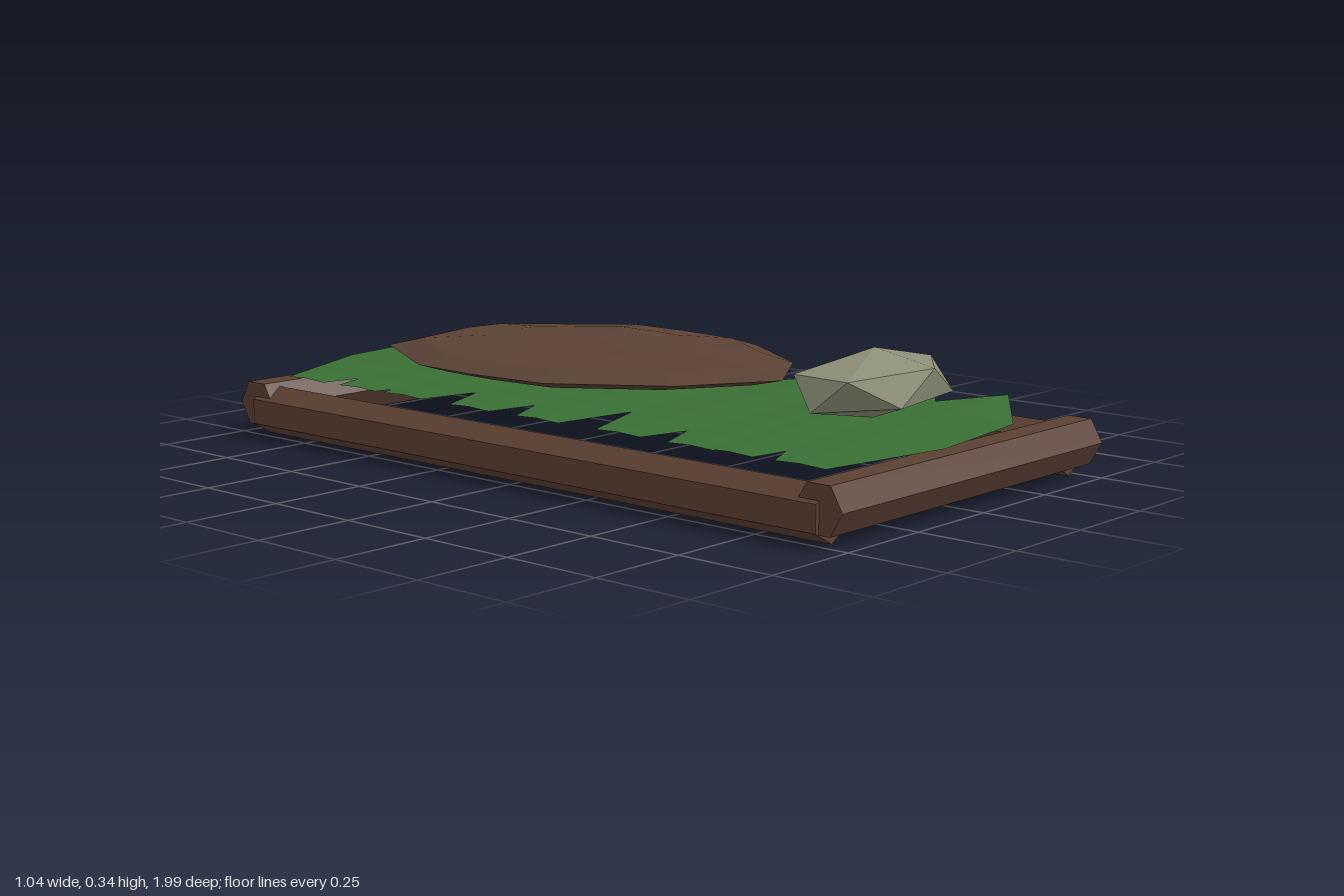
import * as THREE from 'three';
import { ConvexGeometry } from 'three/addons/geometries/ConvexGeometry.js';

const material = (name, color, extra = {}) => {
  const m = new THREE.MeshStandardMaterial({ color, flatShading: true, ...extra });
  m.name = name;
  return m;
};

// Flat-sided solid or sheet from a list of corner rows, each the same length
function loft(rows, closed) {
  const pos = [];
  const cols = rows[0].length;
  for (let i = 0; i < rows.length - 1; i++) {
    for (let j = 0; j < (closed ? cols : cols - 1); j++) {
      const k = (j + 1) % cols;
      const a = rows[i][j], b = rows[i][k], c = rows[i + 1][k], d = rows[i + 1][j];
      pos.push(...a, ...b, ...c, ...a, ...c, ...d);
    }
  }
  const g = new THREE.BufferGeometry();
  g.setAttribute('position', new THREE.Float32BufferAttribute(pos, 3));
  g.computeVertexNormals();
  return g;
}

export function createModel() {
  const model = new THREE.Group();
  const wood = material('dark wood', 0x5c4033);
  const green = material('leaf green', 0x3a6f35, { side: THREE.DoubleSide });
  const hide = material('brown hide', 0x5a4134);
  const stone = material('grey stone', 0x8b8d76);

  const add = (name, geometry, mat, parent = model) => {
    const mesh = new THREE.Mesh(geometry, mat);
    mesh.name = name;
    parent.add(mesh);
    return mesh;
  };

  // Frame: hexagonal logs, end logs resting across the side logs
  const frame = new THREE.Group();
  frame.name = 'frame';
  model.add(frame);
  for (const s of [1, -1]) {
    const side = new THREE.CylinderGeometry(0.064, 0.064, 1.86, 6).rotateX(Math.PI / 2);
    add(s > 0 ? 'leftLog' : 'rightLog', side, wood, frame).position.set(s * 0.465, 0.066, 0);
    const end = new THREE.CylinderGeometry(0.064, 0.064, 1.02, 6).rotateZ(Math.PI / 2);
    add(s > 0 ? 'frontLog' : 'backLog', end, wood, frame).position.set(0, 0.085, s * 0.928);
  }

  // Leaves: overlapping sheets with a raised midrib, each [stem z, tip z]
  const leaves = new THREE.Group();
  leaves.name = 'leafBedding';
  model.add(leaves);
  const stations = [[-0.45, 0.07], [-0.13, 0.18], [0.18, 0.18], [0.47, 0]]; // x, half width
  const spans = [[-0.8, -0.82], [-0.6, -0.57], [-0.43, -0.43], [-0.19, -0.23], [0.04, -0.05],
    [0.3, 0.3], [0.52, 0.5], [0.63, 0.53], [0.83, 0.75]];
  spans.forEach(([z0, z1], i) => {
    const rows = stations.map(([x, w]) => {
      const t = (x + 0.45) / 0.92;
      const y = 0.156 + 0.022 * t + (i % 3) * 0.0006;
      const z = z0 + (z1 - z0) * t;
      return [[x, y, z - w], [x, y + w * 0.045, z], [x, y, z + w]];
    });
    add('leaf', loft(rows, false), green, leaves);
  });

  // Hide blanket: faceted flattened dome above and below its outline (x, z)
  const outline = [[0, 0.42], [0.23, 0.27], [0.39, 0.02], [0.41, -0.2], [0.41, -0.4], [0.13, -0.74],
    [0, -0.755], [-0.25, -0.7], [-0.42, -0.4], [-0.43, -0.2], [-0.41, 0.02], [-0.23, 0.28]];
  const levels = [[0, -0.042], [0.5, -0.038], [0.84, -0.022], [1, 0], [0.84, 0.022], [0.5, 0.038], [0, 0.043]];
  const rings = levels.map(([s, h]) =>
    outline.map(([x, z]) => [x * s, 0.235 + h, -0.18 + (z + 0.18) * s]));
  add('hideBlanket', loft(rings, true), hide);

  // Stone pillow: two staggered five-corner rings between top and bottom points
  const upper = [[-0.21, 0.62], [0.08, 0.56], [0.225, 0.69], [0.07, 0.81], [-0.22, 0.78]];
  const lower = [[-0.25, 0.7], [-0.07, 0.82], [0.205, 0.77], [0.2, 0.62], [-0.08, 0.57]];
  const corners = [
    new THREE.Vector3(0, 0.345, 0.69), new THREE.Vector3(0, 0.18, 0.69),
    ...upper.map(([x, z]) => new THREE.Vector3(x, 0.3, z)),
    ...lower.map(([x, z]) => new THREE.Vector3(x, 0.225, z)),
  ];
  add('stonePillow', new ConvexGeometry(corners), stone);

  return model;
}
